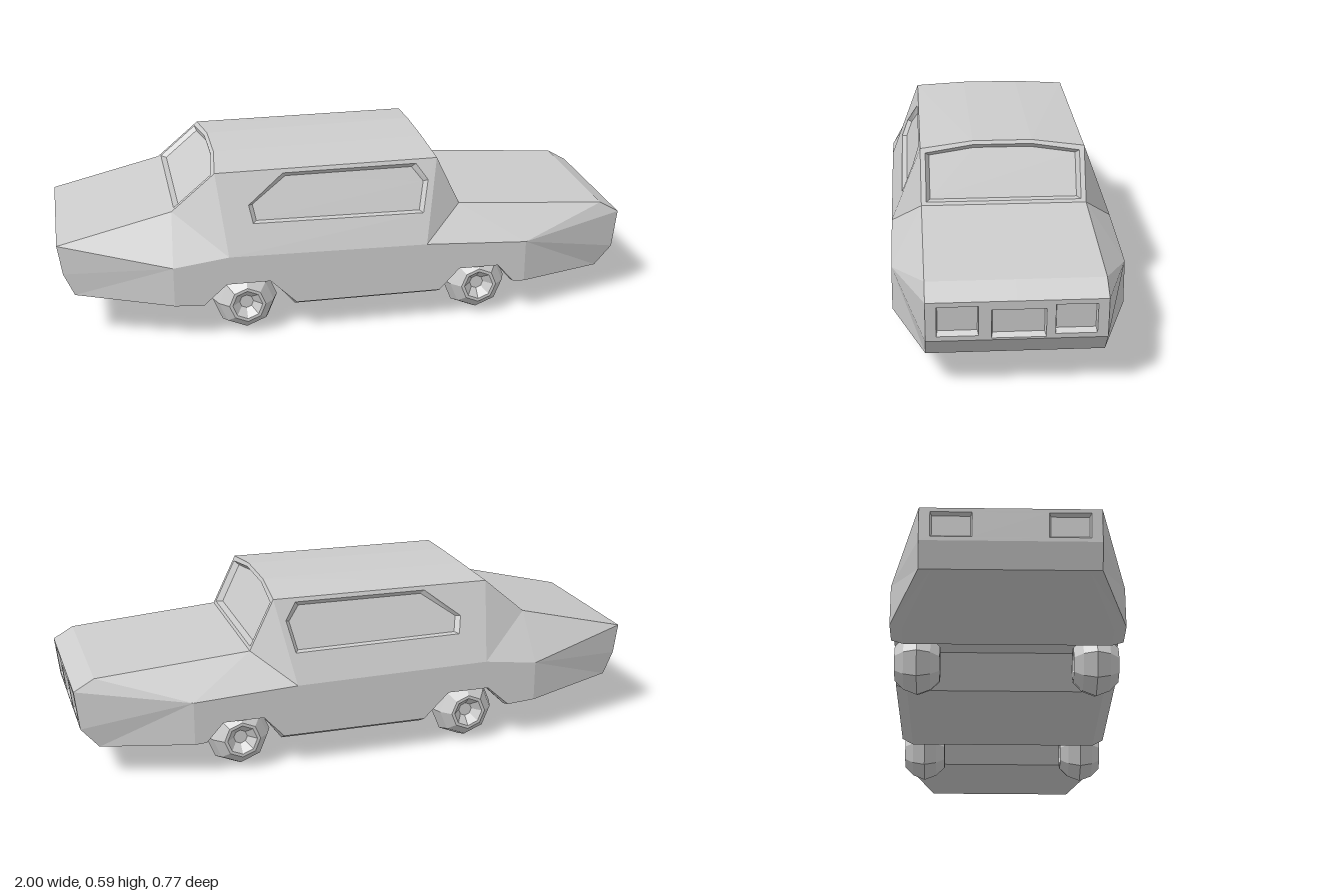
import * as THREE from 'three';

const V = (x, y, z) => new THREE.Vector3(x, y, z);
const EDGE = 0.28;   // half width of roof, hood and end faces
const WIDE = 0.383;  // half width at the belt line

// Collects triangles into one flat-shaded mesh; mirrored ones are repeated on -z
class Part {
  constructor(name) { this.name = name; this.p = []; }
  tri(a, b, c, mirror = true) {
    for (const v of [a, b, c]) this.p.push(v.x, v.y, v.z);
    if (mirror) for (const v of [c, b, a]) this.p.push(v.x, v.y, -v.z);
  }
  quad(a, b, c, d, mirror = true) {
    this.tri(a, b, c, mirror);
    this.tri(a, c, d, mirror);
  }
  // Fills a 2D outline with holes, placing each point by a mapping
  fill(outline, holes, map, mirror) {
    const v2 = l => l.map(q => new THREE.Vector2(q[0], q[1]));
    const o = v2(outline), hs = holes.map(v2);
    const all = [o, ...hs].flat();
    for (const [i, j, k] of THREE.ShapeUtils.triangulateShape(o, hs)) {
      const [a, b, c] = [all[i], all[j], all[k]];
      const area = (b.x - a.x) * (c.y - a.y) - (c.x - a.x) * (b.y - a.y);
      const t = (area > 0 ? [a, b, c] : [a, c, b]).map(q => map(q.x, q.y));
      this.tri(...t, mirror);
    }
  }
  // Four-cornered panel with sunken openings given in its own 0..1 coordinates
  panel([a, b, c, d], openings, shrink, depth, mirror, outline = [[0, 0], [1, 0], [1, 1], [0, 1]]) {
    const map = (u, v) => a.clone().lerp(b, u).lerp(d.clone().lerp(c, u), v);
    const sink = b.clone().sub(a).cross(d.clone().sub(a)).normalize().multiplyScalar(-depth);
    this.fill(outline, openings, map, mirror);
    for (const hole of openings) {
      const mid = [0, 1].map(k => hole.reduce((s, q) => s + q[k], 0) / hole.length);
      const floor = hole.map(q => q.map((t, k) => mid[k] + (t - mid[k]) * shrink[k]));
      const sunk = (u, v) => map(u, v).add(sink);
      this.fill(floor, [], sunk, mirror);
      hole.forEach((q, i) => {
        const j = (i + 1) % hole.length;
        this.quad(map(...q), map(...hole[j]), sunk(...floor[j]), sunk(...floor[i]), mirror);
      });
    }
  }
  mesh(material) {
    const g = new THREE.BufferGeometry();
    g.setAttribute('position', new THREE.Float32BufferAttribute(this.p, 3));
    g.computeVertexNormals();
    const m = new THREE.Mesh(g, material);
    m.name = this.name;
    return m;
  }
}

const rect = (u0, v0, u1, v1) => [[u0, v0], [u1, v0], [u1, v1], [u0, v1]];
const flip = v => V(v.x, v.y, -v.z);
const centre = v => V(v.x, v.y, 0);

export function createModel() {
  const car = new THREE.Group();
  car.name = 'car';
  const grey = new THREE.MeshStandardMaterial({ color: 0xcccccc, flatShading: true, side: THREE.DoubleSide });
  grey.name = 'plain grey';
  const add = part => car.add(part.mesh(grey));

  // Key corners on the +z half
  const beltRear = V(-0.62, 0.275, WIDE), beltCabinRear = V(-0.43, 0.30, WIDE);
  const beltCabinFront = V(0.26, 0.29, WIDE), beltFront = V(0.62, 0.27, WIDE);
  const roofRear = V(-0.46, 0.567, EDGE), roofFront = V(0.315, 0.57, EDGE);
  const cowl = V(0.40, 0.395, EDGE), deckFront = V(-0.61, 0.44, EDGE);
  const hoodTip = V(0.93, 0.355, EDGE), noseTop = V(1, 0.315, EDGE);
  const noseLow = V(0.985, 0.18, EDGE), noseBottom = V(0.925, 0.11, EDGE);
  const tailTop = V(-1, 0.345, EDGE), tailLow = V(-0.985, 0.24, EDGE), tailBottom = V(-0.95, 0.16, EDGE);

  // Cabin sides with sunken windows
  const cabin = new Part('cabinSides');
  cabin.panel([beltCabinRear, beltCabinFront, roofFront, roofRear],
    [[[0.14, 0.38], [0.965, 0.37], [0.97, 0.75], [0.905, 0.95], [0.30, 0.95], [0.13, 0.6]]],
    [0.955, 0.88], 0.015, true);
  cabin.tri(beltCabinFront, cowl, roofFront);
  cabin.tri(beltCabinRear, roofRear, deckFront);
  add(cabin);

  // Windscreen and rear window; their tops rise to meet the crowned roof
  const crown = 1.12;
  const outline = [[0, 0], [1, 0], [1, 1], [0.68, crown], [0.32, crown], [0, 1]];
  const glass = [[0.03, 0.06], [0.97, 0.06], [0.97, 0.92], [0.68, 1.05], [0.32, 1.05], [0.03, 0.92]];
  const windscreen = new Part('windscreen');
  windscreen.panel([cowl, flip(cowl), flip(roofFront), roofFront], [glass], [0.95, 0.9], 0.02, false, outline);
  add(windscreen);
  const rearWindow = new Part('rearWindow');
  rearWindow.panel([flip(deckFront), deckFront, roofRear, flip(roofRear)], [glass], [0.95, 0.9], 0.015, false, outline);
  add(rearWindow);

  // Crowned roof
  const roof = new Part('roof');
  const ridge = (low, top) => low.clone().lerp(top, crown).setZ(0.36 * EDGE);
  const ridgeFront = ridge(cowl, roofFront), ridgeRear = ridge(deckFront, roofRear);
  roof.quad(roofRear, roofFront, ridgeFront, ridgeRear);
  roof.quad(ridgeRear, ridgeFront, centre(ridgeFront), centre(ridgeRear));
  add(roof);

  // Hood, boot lid and the shoulders falling away from them
  const hood = new Part('hood');
  hood.quad(cowl, hoodTip, centre(hoodTip), centre(cowl));
  hood.quad(hoodTip, noseTop, centre(noseTop), centre(hoodTip));
  add(hood);
  const boot = new Part('bootLid');
  boot.quad(tailTop, deckFront, centre(deckFront), centre(tailTop));
  add(boot);
  const shoulders = new Part('fenders');
  shoulders.tri(beltCabinFront, beltFront, cowl);
  shoulders.tri(beltCabinRear, deckFront, beltRear);

  // Lower outline with wheel arches: x, y, half width, bevel drop
  const lower = [
    [-0.95, 0.16, EDGE, 0], [-0.62, 0.135, WIDE, 0.012], [-0.52, 0.128, WIDE, 0.012],
    [-0.44, 0.20, WIDE, 0.005], [-0.29, 0.20, WIDE, 0.005], [-0.20, 0.112, WIDE, 0.022],
    [0.31, 0.112, WIDE, 0.022], [0.38, 0.188, WIDE, 0.005], [0.52, 0.188, WIDE, 0.005],
    [0.58, 0.122, WIDE, 0.01], [0.62, 0.12, WIDE, 0.01], [0.925, 0.11, EDGE, 0]];
  const sill = lower.map(([x, y, w]) => V(x, y, w));
  const inner = lower.map(([x, y, w, drop]) => V(x, y - drop, w - 0.04));

  // Fender facets fanning from the belt ends to the nose and tail corners
  const frontFan = [sill[10], noseBottom, noseLow, noseTop, hoodTip, cowl];
  const rearFan = [deckFront, tailTop, tailLow, tailBottom, sill[1]];
  for (const [hub, fan] of [[beltFront, frontFan], [beltRear, rearFan]])
    for (let i = 0; i + 1 < fan.length; i++) shoulders.tri(hub, fan[i], fan[i + 1]);
  add(shoulders);

  // Doors and rocker sides between the belt and the arches
  const sides = new Part('bodySides');
  const sideOutline = [...sill.slice(1, 11), beltFront, beltCabinFront, beltCabinRear, beltRear];
  sides.fill(sideOutline.map(v => [v.x, v.y]), [], (x, y) => V(x, y, WIDE), true);
  add(sides);

  // Underside, bevelled along its edges, with arch channels running across
  const under = new Part('underside');
  for (let i = 0; i + 1 < sill.length; i++) {
    under.quad(inner[i], inner[i + 1], sill[i + 1], sill[i]);
    under.quad(centre(inner[i]), centre(inner[i + 1]), inner[i + 1], inner[i]);
  }
  add(under);

  // Nose with two headlamps and a grille, tail with two lamps
  const nose = new Part('nose');
  nose.panel([noseLow, flip(noseLow), flip(noseTop), noseTop],
    [rect(0.06, 0.12, 0.29, 0.88), rect(0.36, 0.05, 0.66, 0.78), rect(0.71, 0.12, 0.94, 0.88)],
    [0.95, 0.8], 0.018, false);
  nose.quad(noseBottom, centre(noseBottom), centre(noseLow), noseLow);
  add(nose);
  const tail = new Part('tail');
  tail.panel([flip(tailLow), tailLow, tailTop, flip(tailTop)],
    [rect(0.06, 0.12, 0.29, 0.88), rect(0.71, 0.12, 0.94, 0.88)], [0.92, 0.8], 0.015, false);
  tail.quad(centre(tailBottom), tailBottom, tailLow, centre(tailLow));
  add(tail);

  // Eight-sided wheels with dished hubs
  const half = [[0.113, 0], [0.095, 0.045], [0.063, 0.076], [0.052, 0.076], [0.024, 0.045], [0, 0.045]];
  const profile = [...half.slice(1).reverse().map(([r, h]) => [r, -h]), ...half]
    .map(([r, h]) => new THREE.Vector2(r, h));
  const wheelShape = new THREE.LatheGeometry(profile, 8).rotateX(Math.PI / 2);
  for (const [x, end] of [[0.455, 'front'], [-0.37, 'rear']])
    for (const [s, flank] of [[1, 'Near'], [-1, 'Far']]) {
      const wheel = new THREE.Mesh(wheelShape, grey);
      wheel.name = end + flank + 'Wheel';
      wheel.position.set(x, 0.113, s * 0.301);
      car.add(wheel);
    }
  return car;
}
